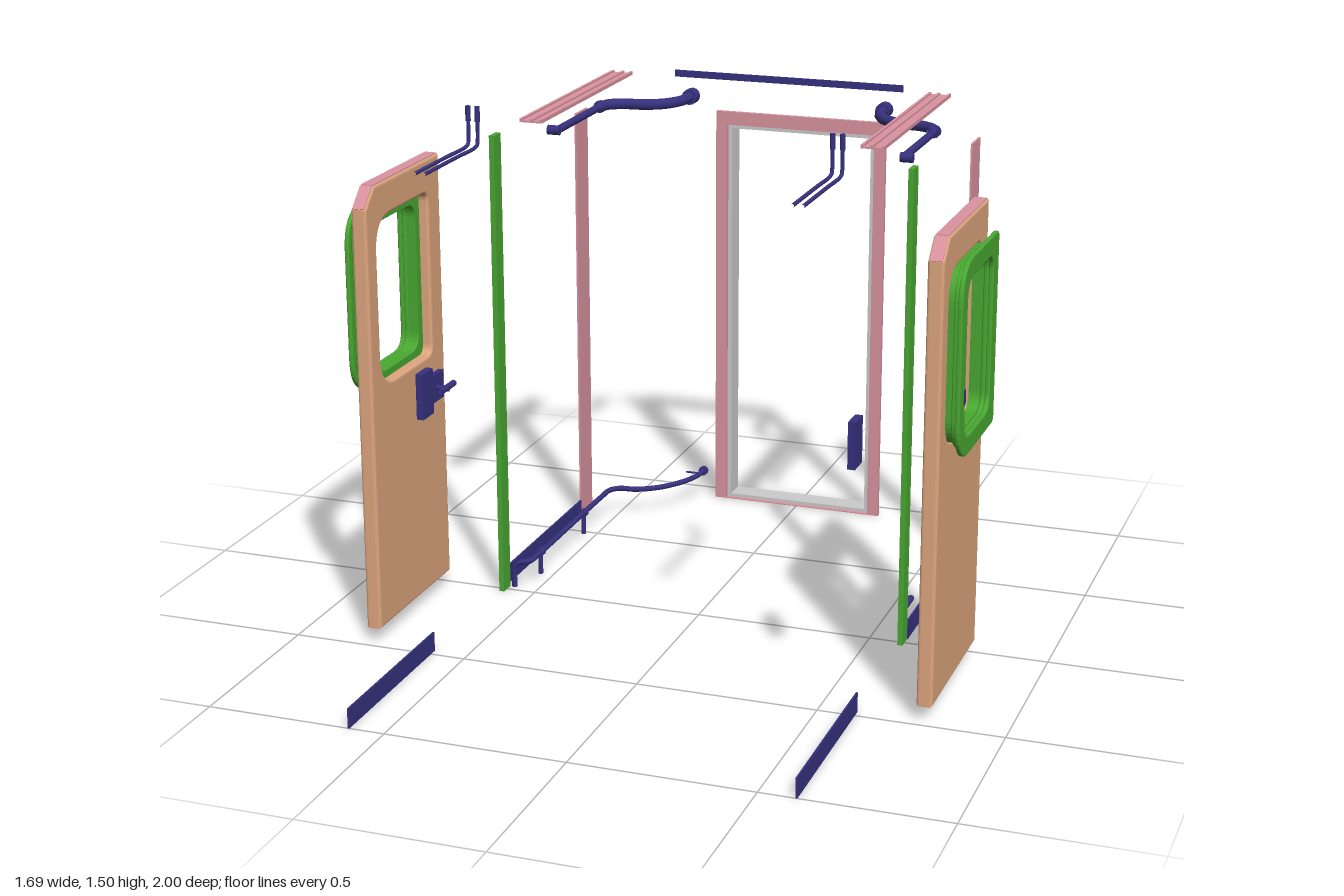
import * as THREE from 'three';

const mat = (color) => new THREE.MeshStandardMaterial({ color });
const PINK = mat(0xd9939f), PEACH = mat(0xdfa67f), GREEN = mat(0x4aa832), NAVY = mat(0x37317f), GREY = mat(0xcccccc);

export function createModel() {
  const root = new THREE.Group();

  const add = (name, geometry, material, parent = root) => {
    const mesh = new THREE.Mesh(geometry, material);
    mesh.name = name;
    parent.add(mesh);
    return mesh;
  };

  // Box given by its limits on each axis
  const box = (name, m, x0, x1, y0, y1, z0, z1, parent) =>
    add(name, new THREE.BoxGeometry(Math.abs(x1 - x0), y1 - y0, Math.abs(z1 - z0)), m, parent)
      .position.set((x0 + x1) / 2, (y0 + y1) / 2, (z0 + z1) / 2);

  // Round bar along a smooth path
  const tube = (name, pts, r, parent) => {
    const path = new THREE.CatmullRomCurve3(pts.map((p) => new THREE.Vector3(...p)), false, 'centripetal');
    add(name, new THREE.TubeGeometry(path, 64, r, 10), NAVY, parent);
  };

  // Straight round bar with closed ends
  const rod = (name, a, b, r, parent) => {
    const A = new THREE.Vector3(...a), B = new THREE.Vector3(...b);
    const d = B.clone().sub(A);
    const mesh = add(name, new THREE.CylinderGeometry(r, r, d.length(), 12), NAVY, parent);
    mesh.position.copy(A).add(B).multiplyScalar(0.5);
    mesh.quaternion.setFromUnitVectors(new THREE.Vector3(0, 1, 0), d.normalize());
  };

  // Rectangle in the z-y plane; rf rounds the front corners, rb the back ones
  const rounded = (Ctor, z0, z1, y0, y1, rf, rb) => {
    const s = new Ctor();
    s.moveTo(z0 + rb, y0);
    s.lineTo(z1 - rf, y0);
    s.quadraticCurveTo(z1, y0, z1, y0 + rf);
    s.lineTo(z1, y1 - rf);
    s.quadraticCurveTo(z1, y1, z1 - rf, y1);
    s.lineTo(z0 + rb, y1);
    s.quadraticCurveTo(z0, y1, z0, y1 - rb);
    s.lineTo(z0, y0 + rb);
    s.quadraticCurveTo(z0, y0, z0 + rb, y0);
    return s;
  };

  // Slab of a z-y outline between two distances from the centre, on side s
  const slab = (name, shape, m, s, xa, xb, bevel, parent) => {
    const g = new THREE.ExtrudeGeometry(shape, {
      depth: xb - xa - 2 * bevel, bevelEnabled: bevel > 0, bevelSize: bevel,
      bevelThickness: bevel, bevelOffset: -bevel, bevelSegments: 3, curveSegments: 10,
    });
    g.rotateY(-Math.PI / 2);
    g.translate((s > 0 ? xb : -xa) - bevel, 0, 0);
    add(name, g, m, parent);
  };

  for (const s of [1, -1]) {
    const side = s > 0 ? 'left' : 'right';

    // Door with a chamfered top front corner and a window hole
    const door = new THREE.Group();
    door.name = side + 'Door';
    root.add(door);
    const outline = new THREE.Shape([[0.012, 0.04], [0.475, 0.04], [0.475, 1.225], [0.42, 1.278], [0.012, 1.278]]
      .map((p) => new THREE.Vector2(...p)));
    outline.holes.push(rounded(THREE.Path, 0.09, 0.415, 0.72, 1.185, 0.09, 0.03));
    slab('doorPanel', outline, PEACH, s, 0.757, 0.8, 0.008, door);

    // Edge trim along the back, top and chamfer of the door
    box('doorBackTrim', PINK, s * 0.764, s * 0.793, 0.045, 1.27, 0.01, 0.013, door);
    box('doorTopTrim', PINK, s * 0.762, s * 0.795, 1.276, 1.28, 0.018, 0.42, door);
    const chamfer = add('doorChamferTrim', new THREE.BoxGeometry(0.033, 0.004, 0.074), PINK, door);
    chamfer.position.set(s * 0.7785, 1.2515, 0.4475);
    chamfer.rotation.x = Math.atan2(0.053, 0.055);

    // Window frame: sleeve, step and outer flange
    const ring = (name, z0, z1, y0, y1, rf, rb, xa, xb, bevel) => {
      const shape = rounded(THREE.Shape, z0, z1, y0, y1, rf, rb);
      shape.holes.push(rounded(THREE.Path, 0.115, 0.385, 0.74, 1.16, 0.06, 0.05));
      slab(name, shape, GREEN, s, xa, xb, bevel, door);
    };
    ring('windowSleeve', 0.09, 0.415, 0.72, 1.185, 0.09, 0.03, 0.785, 0.815, 0);
    ring('windowStep', 0.08, 0.425, 0.71, 1.195, 0.095, 0.025, 0.815, 0.828, 0.004);
    ring('windowFlange', 0.06, 0.44, 0.69, 1.21, 0.11, 0.02, 0.828, 0.841, 0.004);
    box('windowCatch', NAVY, s * 0.815, s * 0.843, 0.84, 0.88, 0.388, 0.402, door);

    // Door latch on the inside
    box('latchPlate', NAVY, s * 0.742, s * 0.76, 0.585, 0.665, 0.055, 0.14, door);
    rod('latchShaft', [s * 0.705, 0.625, 0.1], [s * 0.75, 0.625, 0.1], 0.008, door);
    rod('latchLever', [s * 0.715, 0.625, 0.045], [s * 0.715, 0.625, 0.135], 0.009, door);

    // Door post, rear pillar, sills and striker plate
    box(side + 'DoorPost', GREEN, s * 0.585, s * 0.6, 0, 1.34, -0.025, 0.022);
    box(side + 'RearPillar', PINK, s * 0.597, s * 0.603, 0, 1.27, -0.705, -0.615);
    box(side + 'FrontSill', NAVY, s * 0.597, s * 0.602, 0, 0.055, 0.475, 1);
    box(side + 'RearSill', NAVY, s * 0.597, s * 0.602, 0, 0.055, -0.63, -0.025);
    box(side + 'StrikerPlate', NAVY, s * 0.58, s * 0.6, 0.685, 0.81, 0.47, 0.535);

    // Roof rail with raised lips
    box(side + 'RoofRail', PINK, s * 0.45, s * 0.515, 1.381, 1.386, -0.7, 0.005);
    for (const x of [0.454, 0.48, 0.511])
      box(side + 'RoofRailLip', PINK, s * (x - 0.004), s * (x + 0.004), 1.386, 1.391, -0.7, 0.005);

    // Pair of thin bars that turn up at the back end
    for (const x of [0.48, 0.506]) {
      tube(side + 'HookBar', [[s * x, 1.395, 0.7], [s * x, 1.395, 0.5], [s * x, 1.395, 0.385],
        [s * x, 1.4, 0.37], [s * x, 1.42, 0.366], [s * x, 1.495, 0.366]], 0.005);
      rod(side + 'HookBarTip', [s * x, 1.46, 0.366], [s * x, 1.5, 0.366], 0.007);
    }

    // Upper curved pipe with its end fittings
    tube(side + 'UpperPipe', [[s * 0.297, 1.31, -0.77], [s * 0.305, 1.31, -0.71], [s * 0.34, 1.31, -0.655],
      [s * 0.39, 1.31, -0.628], [s * 0.45, 1.31, -0.618], [s * 0.49, 1.31, -0.59], [s * 0.503, 1.308, -0.54]], 0.016);
    rod(side + 'UpperPipeRun', [s * 0.503, 1.308, -0.56], [s * 0.503, 1.308, -0.24], 0.011);
    rod(side + 'UpperPipeFlange', [s * 0.297, 1.31, -0.8], [s * 0.297, 1.31, -0.765], 0.023);
    rod(side + 'UpperPipeEnd', [s * 0.495, 1.308, -0.235], [s * 0.53, 1.308, -0.235], 0.014);
    rod(side + 'UpperPipeClamp', [s * 0.503, 1.308, -0.575], [s * 0.503, 1.308, -0.56], 0.018);
  }

  // Floor pipe on the right side, with feet and an end flange
  tube('floorPipe', [[-0.57, 0.002, -0.022], [-0.57, 0.055, -0.022], [-0.56, 0.076, -0.022], [-0.54, 0.08, -0.024],
    [-0.527, 0.08, -0.04], [-0.525, 0.08, -0.1], [-0.525, 0.08, -0.6], [-0.522, 0.08, -0.665],
    [-0.5, 0.08, -0.69], [-0.45, 0.08, -0.697], [-0.39, 0.08, -0.735], [-0.34, 0.08, -0.8],
    [-0.312, 0.08, -0.87], [-0.307, 0.08, -0.93]], 0.008);
  for (const z of [-0.11, -0.45]) {
    rod('floorPipeFoot', [-0.525, 0.015, z], [-0.525, 0.08, z], 0.007);
    rod('floorPipeCollar', [-0.525, 0.08, z - 0.012], [-0.525, 0.08, z + 0.012], 0.012);
  }
  rod('floorPipeFlange', [-0.307, 0.08, -0.935], [-0.307, 0.08, -0.92], 0.014);
  rod('floorPipePin', [-0.355, 0.08, -0.9], [-0.307, 0.08, -0.9], 0.003);

  // Upright pipe beside the left door post
  rod('uprightPipe', [0.582, 0.08, -0.042], [0.582, 1.31, -0.042], 0.008);
  rod('uprightPipeTop', [0.582, 1.295, -0.042], [0.582, 1.315, -0.042], 0.012);
  rod('uprightPipeFoot', [0.582, 0.08, -0.13], [0.582, 0.08, -0.036], 0.009);

  // Rear roof strip
  box('rearRoofStrip', NAVY, -0.35, 0.35, 1.365, 1.385, -0.795, -0.79);

  // Rear doorway: trim around it and a deep inner frame behind
  const portal = (name, w, h, iw, y0, ih, z, depth, m) => {
    const shape = new THREE.Shape([[-w, 0], [w, 0], [w, h], [-w, h]].map((p) => new THREE.Vector2(...p)));
    shape.holes.push(new THREE.Path([[-iw, y0], [-iw, ih], [iw, ih], [iw, y0]].map((p) => new THREE.Vector2(...p))));
    const g = new THREE.ExtrudeGeometry(shape, { depth, bevelEnabled: false });
    g.translate(0, 0, z);
    add(name, g, m);
  };
  portal('rearDoorTrim', 0.265, 1.24, 0.23, 0.003, 1.2, -0.935, 0.013, PINK);
  portal('rearDoorFrame', 0.23, 1.2, 0.217, 0.013, 1.187, -1, 0.066, GREY);

  return root;
}
